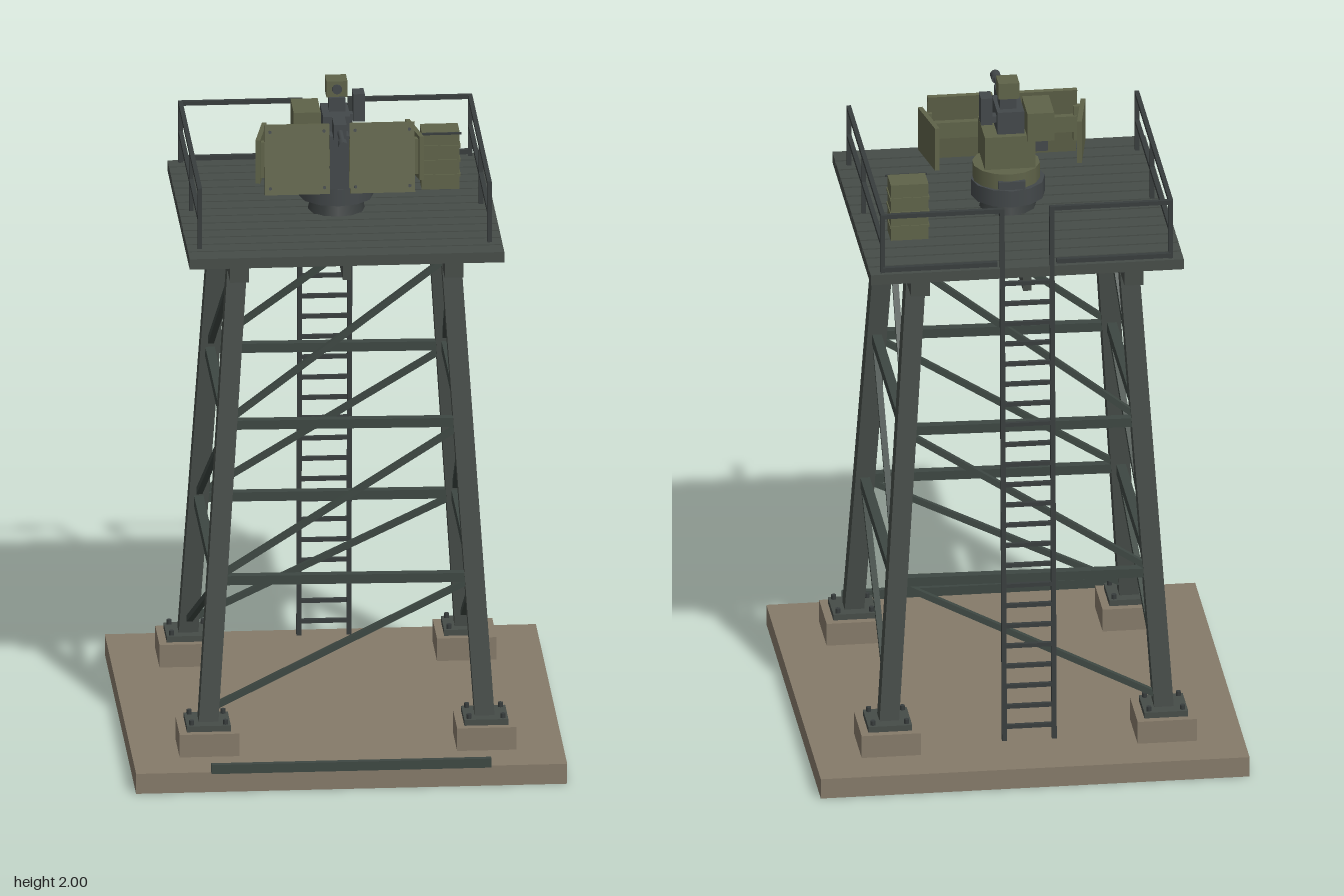
import * as THREE from 'three';

const mat = (name, color) => new THREE.MeshStandardMaterial({ name, color });

export function createModel() {
  const concrete = mat('concrete', 0x857a69);
  const steel = mat('tower steel', 0x464c48);
  const brace = mat('brace steel', 0x3d4742);
  const rail = mat('rail steel', 0x383d3d);
  const olive = mat('olive paint', 0x5f6349);
  const gunmetal = mat('gunmetal', 0x43484a);

  const model = new THREE.Group();
  model.name = 'guardTower';

  const add = (parent, name, geo, material, x, y, z) => {
    const m = new THREE.Mesh(geo, material);
    m.name = name;
    m.position.set(x, y, z);
    parent.add(m);
    return m;
  };
  // box given by its min and max on each axis
  const block = (parent, name, material, x0, x1, y0, y1, z0, z1) =>
    add(parent, name, new THREE.BoxGeometry(x1 - x0, y1 - y0, z1 - z0), material,
      (x0 + x1) / 2, (y0 + y1) / 2, (z0 + z1) / 2);
  // square bar running between two points
  const bar = (parent, name, material, a, b, w, h = w) => {
    const p = new THREE.Vector3(...a), q = new THREE.Vector3(...b);
    const mid = p.clone().add(q).multiplyScalar(0.5);
    const m = add(parent, name, new THREE.BoxGeometry(w, h, p.distanceTo(q)), material, mid.x, mid.y, mid.z);
    m.lookAt(q);
    return m;
  };
  const rod = (parent, name, material, r, len, x, y, z, sides = 10) => {
    const g = new THREE.CylinderGeometry(r, r, len, sides).rotateX(Math.PI / 2);
    return add(parent, name, g, material, x, y, z);
  };
  const group = (name, parent = model) => {
    const g = new THREE.Group();
    g.name = name;
    parent.add(g);
    return g;
  };

  // Ground slab and the loose beam along its front edge
  block(model, 'slab', concrete, -0.637, 0.637, 0, 0.062, -0.647, 0.627);
  block(model, 'looseBeam', brace, -0.415, 0.412, 0.062, 0.09, 0.627, 0.645);

  // Tower frame, centred a little behind the origin
  const tower = group('tower');
  tower.position.z = -0.011;
  const spread = y => 0.408 - (y - 0.15) * 0.066;
  for (const sx of [-1, 1]) for (const sz of [-1, 1]) {
    const fx = sx * 0.41, fz = sz * 0.41;
    block(tower, 'footing', concrete, fx - 0.088, fx + 0.088, 0.062, 0.132, fz - 0.088, fz + 0.088);
    block(tower, 'basePlate', steel, fx - 0.065, fx + 0.065, 0.132, 0.15, fz - 0.065, fz + 0.065);
    for (const bx of [-1, 1]) for (const bz of [-1, 1])
      add(tower, 'anchorBolt', new THREE.CylinderGeometry(0.008, 0.008, 0.014, 6), rail,
        fx + bx * 0.05, 0.157, fz + bz * 0.05);
    // sheared box makes a leaning leg with level ends
    const leg = new THREE.BoxGeometry(0.058, 1.42, 0.058).translate(0, 0.86, 0);
    const p = leg.attributes.position;
    for (let i = 0; i < p.count; i++) {
      const s = spread(p.getY(i));
      p.setX(i, p.getX(i) + sx * s);
      p.setZ(i, p.getZ(i) + sz * s);
    }
    leg.computeVertexNormals();
    add(tower, 'leg', leg, steel, 0, 0, 0);
  }

  // Level girts and single diagonals on all four faces
  for (const s of [-1, 1]) {
    for (const y of [0.57, 1.043]) {
      const c = spread(y);
      bar(tower, 'girt', brace, [-c, y, s * c], [c, y, s * c], 0.028);
      bar(tower, 'girt', brace, [s * c, y, -c], [s * c, y, c], 0.028, 0.032);
    }
    for (const [y0, y1] of [[0.175, 0.565], [0.575, 1.035], [1.05, 1.55]]) {
      const a = spread(y0), b = spread(y1);
      bar(tower, 'diagonal', brace, [-a, y0, s * a], [b, y1, s * b], 0.018);
      bar(tower, 'diagonal', brace, [s * a, y0, -a], [s * b, y1, b], 0.018);
    }
  }

  // Deck: joists, plate and planks
  const deck = group('deck');
  for (const [x, w] of [[-0.317, 0.028], [0, 0.012], [0.317, 0.028]])
    block(deck, 'joist', steel, x - w, x + w, 1.52, 1.566, -0.46, 0.437);
  block(deck, 'deckPlate', steel, -0.465, 0.465, 1.565, 1.584, -0.463, 0.44);
  const planks = 14, pitch = 0.903 / planks;
  for (let i = 0; i < planks; i++) {
    const z = -0.463 + i * pitch;
    block(deck, 'plank', steel, -0.465, 0.465, 1.583, 1.597, z, z + pitch - (i < planks - 1 ? 0.008 : 0));
  }

  // Guard rails on the sides and back, open at the front and the ladder
  const rails = group('guardRails');
  for (const s of [-1, 1]) {
    const x = s * 0.428;
    for (const z of [0.342, -0.005, -0.445])
      bar(rails, 'railPost', rail, [x, 1.595, z], [x, 1.785, z], 0.013);
    for (const y of [1.69, 1.779])
      bar(rails, 'sideRail', rail, [x, y, -0.445], [x, y, 0.348], 0.013);
    bar(rails, 'backRail', rail, [s * 0.075, 1.779, -0.45], [s * 0.434, 1.779, -0.45], 0.013);
    bar(rails, 'toeRail', rail, [s * 0.088, 1.608, -0.45], [s * 0.428, 1.608, -0.45], 0.014);
  }

  // Ladder, its stiles rising past the deck
  const ladder = group('ladder');
  const ladderZ = y => -0.506 + (y - 0.095) * 0.033;
  for (const s of [-1, 1])
    bar(ladder, 'stile', rail, [s * 0.074, 0.095, ladderZ(0.095)], [s * 0.074, 1.785, ladderZ(1.785)], 0.014, 0.016);
  for (let i = 0; i < 23; i++) {
    const y = 0.138 + i * 0.064;
    bar(ladder, 'rung', rail, [-0.074, y, ladderZ(y)], [0.074, y, ladderZ(y)], 0.012);
  }

  // Ammunition locker with raised bands
  const locker = group('locker');
  block(locker, 'lockerBody', olive, 0.263, 0.375, 1.597, 1.775, -0.222, -0.143);
  for (const y of [1.64, 1.685, 1.73])
    block(locker, 'lockerBand', olive, 0.26, 0.378, y - 0.004, y + 0.004, -0.225, -0.139);
  block(locker, 'lockerSill', rail, 0.258, 0.38, 1.768, 1.774, -0.143, -0.137);

  // Gun mount
  const gun = group('gunMount');
  add(gun, 'pedestal', new THREE.CylinderGeometry(0.075, 0.085, 0.045, 12), rail, 0, 1.617, 0);
  add(gun, 'turnRing', new THREE.CylinderGeometry(0.11, 0.11, 0.052, 12), gunmetal, 0, 1.662, -0.005);
  add(gun, 'turntable', new THREE.CylinderGeometry(0.1, 0.1, 0.05, 14), olive, 0.005, 1.712, -0.003);
  block(gun, 'carriage', olive, -0.075, 0.075, 1.72, 1.84, -0.06, 0.1);
  block(gun, 'rearStep', gunmetal, -0.04, 0.04, 1.69, 1.715, -0.108, -0.07);
  block(gun, 'ammoBox', olive, -0.13, -0.05, 1.825, 1.915, -0.07, 0.06);
  block(gun, 'ammoBracket', gunmetal, -0.115, -0.06, 1.78, 1.826, -0.04, 0.04);

  // Sloped front shield halves with bolts, joined behind by a rib, and swept side wings
  for (const s of [-1, 1]) {
    const shield = group('shield', gun);
    shield.position.set(s * 0.126, 1.797, 0.138);
    shield.rotation.x = -0.13;
    block(shield, 'shieldPlate', olive, -0.096, 0.096, -0.105, 0.105, -0.007, 0.007);
    for (const x of [-0.08, 0.08]) for (const y of [-0.085, 0.085])
      rod(shield, 'shieldBolt', gunmetal, 0.005, 0.006, x, y, 0.008, 6);
    bar(gun, 'wing', olive, [s * 0.242, 1.793, 0.142], [s * 0.211, 1.793, -0.02], 0.014, 0.135);
    block(gun, 'wingBracket', olive, s * 0.225 - 0.015, s * 0.225 + 0.015, 1.74, 1.85, 0.112, 0.132);
  }
  block(gun, 'shieldRib', olive, -0.22, 0.22, 1.77, 1.82, 0.108, 0.128);

  // Cradle, receiver, barrel and sights
  block(gun, 'cradle', gunmetal, -0.028, 0.028, 1.7, 1.865, 0.07, 0.135);
  block(gun, 'breech', gunmetal, -0.045, 0.035, 1.835, 1.91, -0.04, 0.09);
  block(gun, 'receiver', gunmetal, -0.019, 0.019, 1.862, 1.91, 0.08, 0.165);
  rod(gun, 'barrel', gunmetal, 0.009, 0.13, 0, 1.886, 0.225);
  rod(gun, 'muzzleBrake', gunmetal, 0.015, 0.036, 0, 1.886, 0.276);
  block(gun, 'sightPost', gunmetal, -0.024, 0.024, 1.905, 1.952, -0.015, 0.042);
  block(gun, 'sightHousing', olive, -0.031, 0.031, 1.95, 2, -0.034, 0.03);
  rod(gun, 'sightLens', gunmetal, 0.015, 0.008, 0, 1.976, 0.032);
  block(gun, 'sideOptic', gunmetal, 0.049, 0.083, 1.87, 1.955, -0.034, 0.02);
  block(gun, 'opticArm', gunmetal, 0.03, 0.055, 1.87, 1.89, -0.02, 0.01);

  return model;
}
